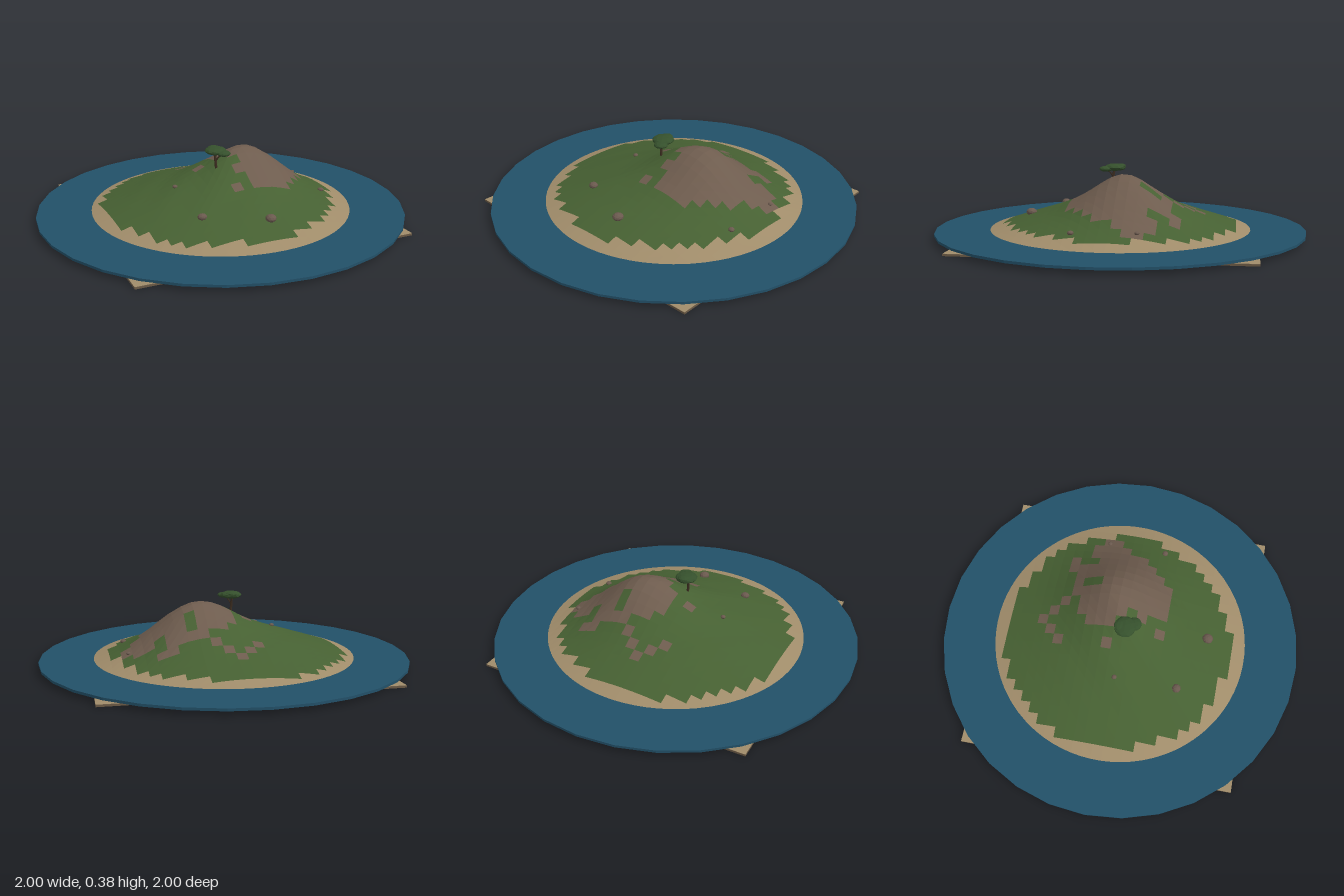
import * as THREE from 'three';

const HALF = 0.74, N = 27, CELL = (2 * HALF) / N;

// Island surface: a broad cone with an off-centre peak
function heightAt(x, z) {
  const r = Math.hypot(x, z, 0.06);
  const cone = 0.036 + 0.32 * (0.7 - r);
  const peak = 0.138 * Math.exp(-((x - 0.21) ** 2 + (z + 0.06) ** 2) / 0.052);
  const ripple = 0.004 * Math.sin(19 * (x + z)) * Math.max(0, 1 - r / 0.6);
  return Math.max(0.012, cone + peak + ripple);
}

// Bare rock cells: row -> column ranges
const rockRows = {
  5: [[13, 13]], 6: [[12, 12], [14, 14]], 7: [[11, 11], [15, 15], [19, 20]],
  8: [[16, 19]], 9: [[14, 16], [18, 19], [21, 22]], 10: [[13, 16], [18, 23]],
  11: [[13, 23]], 12: [[11, 11], [13, 22]], 13: [[14, 21]], 14: [[15, 21]],
  15: [[14, 20]], 16: [[15, 19]], 17: [[13, 13], [15, 18]],
};

function groundKind(i, j) {
  const x = -HALF + (i + 0.5) * CELL, z = -HALF + (j + 0.5) * CELL;
  if ((rockRows[j] || []).some(([a, b]) => i >= a && i <= b)) return 'rockGround';
  return Math.hypot(x, z) + 0.02 * (x + z) < 0.628 ? 'grassGround' : 'sandGround';
}

function mat(color) {
  return new THREE.MeshStandardMaterial({ color, flatShading: true });
}

export function createModel() {
  const model = new THREE.Group();
  const add = (name, geometry, color, x = 0, y = 0, z = 0, parent = model) => {
    const mesh = new THREE.Mesh(geometry, mat(color));
    mesh.name = name;
    mesh.position.set(x, y, z);
    parent.add(mesh);
    return mesh;
  };

  // Square ground slab and the round sheet of water
  add('groundSlab', new THREE.BoxGeometry(2 * HALF, 0.01, 2 * HALF), 0x6b5a45, 0, 0.005, 0);
  add('water', new THREE.CylinderGeometry(1, 1, 0.013, 32), 0x225068, 0, 0.0265, 0);

  // Terrain cells sorted by ground cover
  const cells = { sandGround: [], grassGround: [], rockGround: [] };
  for (let j = 0; j < N; j++) {
    for (let i = 0; i < N; i++) {
      const corner = (di, dj) => {
        const x = -HALF + (i + di) * CELL, z = -HALF + (j + dj) * CELL;
        return [x, heightAt(x, z), z];
      };
      const a = corner(0, 0), b = corner(1, 0), c = corner(1, 1), d = corner(0, 1);
      cells[groundKind(i, j)].push(...a, ...d, ...b, ...d, ...c, ...b);
    }
  }
  const groundColors = { sandGround: 0xa08c6a, grassGround: 0x466032, rockGround: 0x6e5c4e };
  for (const [name, points] of Object.entries(cells)) {
    const g = new THREE.BufferGeometry();
    g.setAttribute('position', new THREE.Float32BufferAttribute(points, 3));
    g.computeVertexNormals();
    add(name, g, groundColors[name]);
  }

  // Scattered boulders: x, z, radius
  const boulders = [
    [-0.26, 0.36, 0.025], [0.06, 0.485, 0.03], [0.54, 0.165, 0.017],
    [0.54, -0.16, 0.013], [-0.275, 0.02, 0.014],
  ];
  boulders.forEach(([x, z, r], k) => {
    const m = add('boulder', new THREE.IcosahedronGeometry(r, 1), 0x6a594e,
      x, heightAt(x, z) + r * 0.3, z);
    m.scale.set(1, 0.7, 0.95);
    m.rotation.y = k * 1.3;
  });

  // Lone flat-topped tree
  const tree = new THREE.Group();
  tree.name = 'tree';
  model.add(tree);
  const limb = (name, points, r) => add(name, new THREE.TubeGeometry(
    new THREE.CatmullRomCurve3(points.map((p) => new THREE.Vector3(...p))), 6, r, 6),
    0x3c2d20, 0, 0, 0, tree);
  limb('trunk', [[-0.043, 0.225, 0.045], [-0.05, 0.29, 0.048], [-0.052, 0.345, 0.04]], 0.007);
  limb('branch', [[-0.05, 0.3, 0.047], [-0.035, 0.325, 0.06], [-0.018, 0.342, 0.078]], 0.004);
  const canopy = [[-0.045, 0.354, 0.035, 0.06, 0.021], [-0.018, 0.347, 0.082, 0.038, 0.016],
    [-0.045, 0.362, 0.01, 0.035, 0.013]];
  for (const [x, y, z, r, h] of canopy) {
    add('canopy', new THREE.IcosahedronGeometry(r, 1), 0x35502c, x, y, z, tree).scale.y = h / r;
  }

  return model;
}
